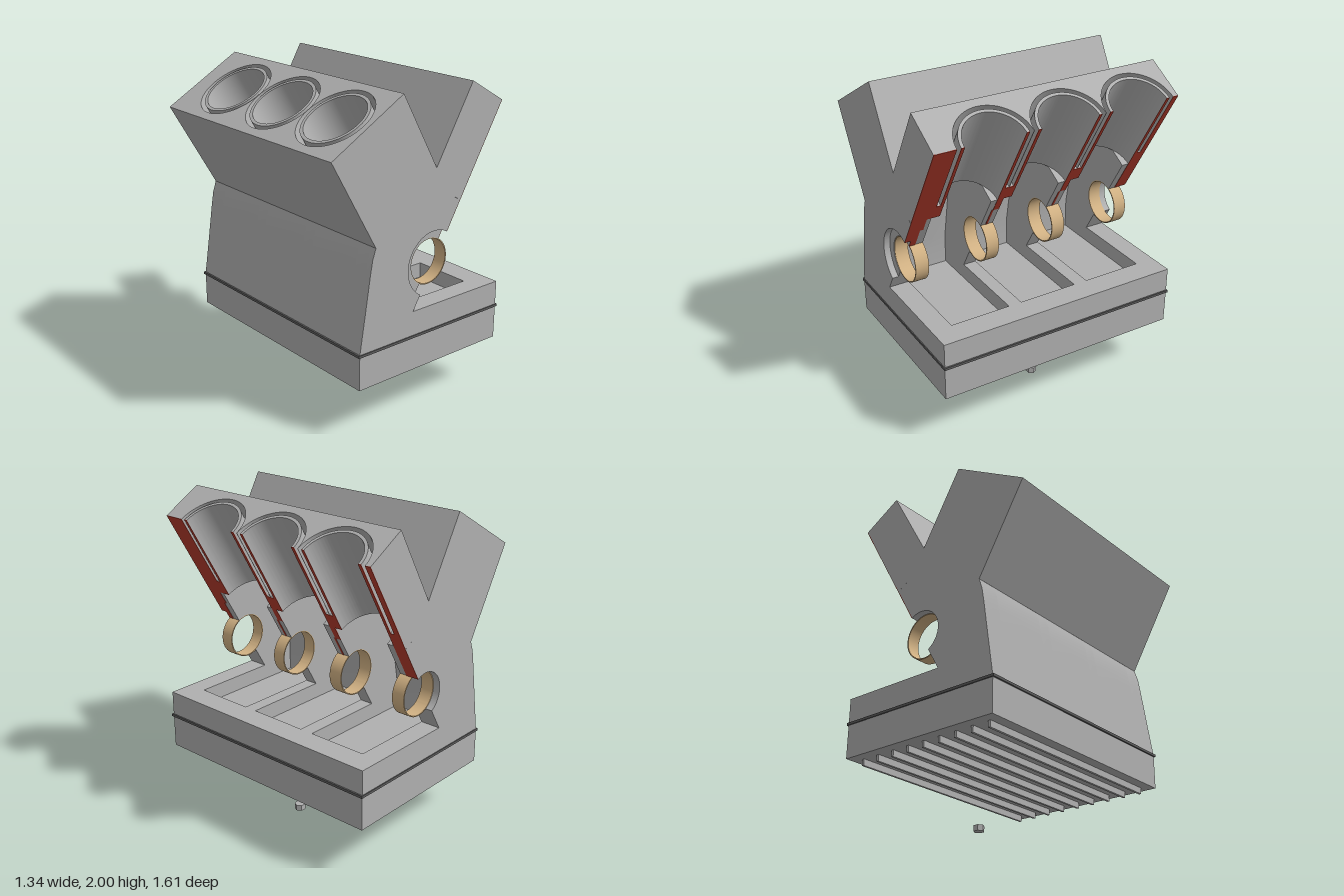
import * as THREE from 'three';
import { toCreasedNormals } from 'three/addons/utils/BufferGeometryUtils.js';

const PI = Math.PI, CX = 0.095, CY = 0.965;      // crankshaft centre
const HALF = 0.8, BANK = 0.289;                  // half length, half bank width
const S0 = 0.4, S1 = 0.51, S2 = 1.033;           // bank heights: bottom, jacket floor, deck
const BORE = 0.19, LINER = 0.21, JACKET = 0.2365;
const CENTRES = [-0.427, 0.05, 0.526];           // cylinder z positions, left bank

export function createModel() {
  const mat = (name, color) => {
    const m = new THREE.MeshStandardMaterial({ color });
    m.name = name;
    return m;
  };
  const iron = mat('cast grey', 0xb0b0b0);
  const red = mat('section red', 0xb53c2c);
  const brass = mat('bearing brass', 0xd2b284);
  const dark = mat('gasket grey', 0x5c5c5c);

  const model = new THREE.Group();
  model.name = 'engineBlockCutaway';

  const add = (parent, name, geo, material) => {
    const m = new THREE.Mesh(geo, material);
    m.name = name;
    parent.add(m);
    return m;
  };
  const box = (parent, name, material, x0, x1, y0, y1, z0, z1) => {
    const m = add(parent, name, new THREE.BoxGeometry(x1 - x0, y1 - y0, z1 - z0), material);
    m.position.set((x0 + x1) / 2, (y0 + y1) / 2, (z0 + z1) / 2);
  };
  const extrude = (shape, from, to) => {
    const g = new THREE.ExtrudeGeometry(shape, { depth: to - from, bevelEnabled: false, curveSegments: 40 });
    g.translate(0, 0, from);
    return toCreasedNormals(g, 0.5);
  };
  // extrusion standing along a bank's own axis
  const upright = (shape, from, to) => extrude(shape, from, to).rotateX(-PI / 2);
  const circle = (x, y, r) => new THREE.Path().absarc(x, y, r, 0, PI * 2, false);

  // ---- crankcase: slabs along z, webs alternating with open bays ----
  const wall = [[-0.465, 0.54], [-0.425, 0.8], [-0.395, 1.0], [-0.378, 1.1], [-0.355, 1.167]];
  const outline = () => {
    const s = new THREE.Shape();
    wall.forEach(([x, y], i) => (i ? s.lineTo(x, y) : s.moveTo(x, y)));
    return s;
  };
  const sill = (s) => {
    s.lineTo(0.655, 0.7);
    s.lineTo(0.655, 0.54);
    s.closePath();
    return s;
  };
  const webShape = (r) => {
    const s = outline();
    s.lineTo(CX, 1.427);
    s.lineTo(0.295, 1.311);
    s.lineTo(CX + r * 0.5, CY + r * 0.866);
    s.absarc(CX, CY, r, PI / 3, PI * 4 / 3, false);
    s.lineTo(-0.058, 0.7);
    return sill(s);
  };
  const bayShape = () => {
    const s = outline();
    [[-0.26, 1.222], [-0.25, 1.12], [-0.31, 0.79], [-0.31, 0.6], [0.5, 0.6], [0.5, 0.7]]
      .forEach(([x, y]) => s.lineTo(x, y));
    return sill(s);
  };
  add(model, 'frontCounterbore', extrude(webShape(0.2), 0.76, HALF), iron);
  [[0.67, 0.76], [0.195, 0.28], [-0.28, -0.19], [-HALF, -0.67]]
    .forEach(([a, b]) => add(model, 'bearingWeb', extrude(webShape(0.143), a, b), iron));
  [[0.28, 0.67], [-0.19, 0.195], [-0.67, -0.28]]
    .forEach(([a, b]) => add(model, 'crankBay', extrude(bayShape(), a, b), iron));

  // ---- main bearing shells ----
  const ring = new THREE.Shape().absarc(CX, CY, 0.145, 0, PI * 2, false);
  ring.holes.push(circle(CX, CY, 0.138));
  [[0.67, 0.757], [0.195, 0.28], [-0.28, -0.19], [-0.755, -0.67]]
    .forEach(([a, b]) => add(model, 'mainBearing', extrude(ring, a, b), brass));

  const bankGroup = (name, tilt) => {
    const g = new THREE.Group();
    g.name = name;
    g.position.set(CX, CY, 0);
    g.rotation.z = tilt;
    model.add(g);
    return g;
  };

  // ---- whole left-hand bank ----
  const full = bankGroup('wholeBank', PI / 6);
  const fullLayer = (r) => {
    const s = new THREE.Shape();
    s.moveTo(-BANK, -HALF);
    s.lineTo(BANK, -HALF);
    s.lineTo(BANK, HALF);
    s.lineTo(-BANK, HALF);
    s.closePath();
    CENTRES.forEach((z) => s.holes.push(circle(0, -z, r)));
    return s;
  };
  add(full, 'bankBase', upright(fullLayer(BORE), S0, S1), iron);
  add(full, 'waterJacketWall', upright(fullLayer(JACKET), S1, S2), iron);
  CENTRES.forEach((z) => {
    const s = new THREE.Shape().absarc(0, -z, LINER, 0, PI * 2, false);
    s.holes.push(circle(0, -z, BORE));
    add(full, 'cylinderLiner', upright(s, S1, S2), iron);
  });

  // ---- sectioned bank, cut along its cylinder axes ----
  const cut = bankGroup('sectionedBank', -PI / 6);
  const cutCentres = CENTRES.map((z) => -z);
  const cutLayer = (r) => {
    const s = new THREE.Shape();
    s.moveTo(-BANK, -HALF);
    s.lineTo(0, -HALF);
    cutCentres.map((z) => -z).sort((a, b) => a - b).forEach((y) => {
      s.lineTo(0, y - r);
      s.absarc(0, y, r, -PI / 2, PI / 2, true);
    });
    s.lineTo(0, HALF);
    s.lineTo(-BANK, HALF);
    s.closePath();
    return s;
  };
  add(cut, 'bankBase', upright(cutLayer(BORE), S0, S1), iron);
  add(cut, 'waterJacketWall', upright(cutLayer(JACKET), S1, S2), iron);
  cutCentres.forEach((z) => {
    const s = new THREE.Shape();
    s.absarc(0, -z, LINER, PI / 2, PI * 1.5, false);
    s.absarc(0, -z, BORE, PI * 1.5, PI / 2, true);
    s.closePath();
    add(cut, 'halfLiner', upright(s, S1, S2), iron);
  });

  // red faces on the cutting plane
  const face = (z0, z1, s0, s1) => box(cut, 'sectionFace', red, -0.002, 0.002, s0, s1, z0, z1);
  const [c0, c1, c2] = cutCentres;
  face(c0 + JACKET, HALF, S1, S2);
  face(-HALF, c2 - JACKET, S1, S2);
  cutCentres.forEach((z) => {
    face(z + BORE, z + LINER, S1, S2);
    face(z - LINER, z - BORE, S1, S2);
  });
  face(c0 + BORE, HALF, S0, S1);
  face(c1 + BORE, c0 - BORE, S0, S1);
  face(c2 + BORE, c1 - BORE, S0, S1);
  face(-HALF, c2 - BORE, S0, S1);
  face(0.7, HALF, 0.295, S0);
  face(0.72, 0.76, 0.145, 0.295);
  face(0.76, HALF, 0.2, 0.295);
  [0.237, -0.239].forEach((z) => {
    face(z - 0.042, z, 0.295, S0);
    face(z - 0.004, z + 0.01, 0.145, 0.295);
  });
  face(-HALF, -0.716, 0.145, S0);

  // ---- oil pan, gasket, cooling fins and drain plug ----
  box(model, 'panGasket', dark, -0.475, 0.665, 0.53, 0.546, -0.806, 0.806);
  box(model, 'oilPan', iron, -0.465, 0.655, 0.32, 0.532, -HALF, HALF);
  for (let i = 0; i < 9; i++) {
    const x = -0.389 + i * 0.121;
    box(model, 'panFin', iron, x - 0.008, x + 0.008, 0.28, 0.322, -0.735, 0.735);
  }
  const plug = add(model, 'drainPlug', toCreasedNormals(new THREE.CylinderGeometry(0.035, 0.035, 0.037, 6), 0.5), iron);
  plug.rotation.y = PI / 6;
  plug.position.set(0.315, 0.0185, 0);

  return model;
}
